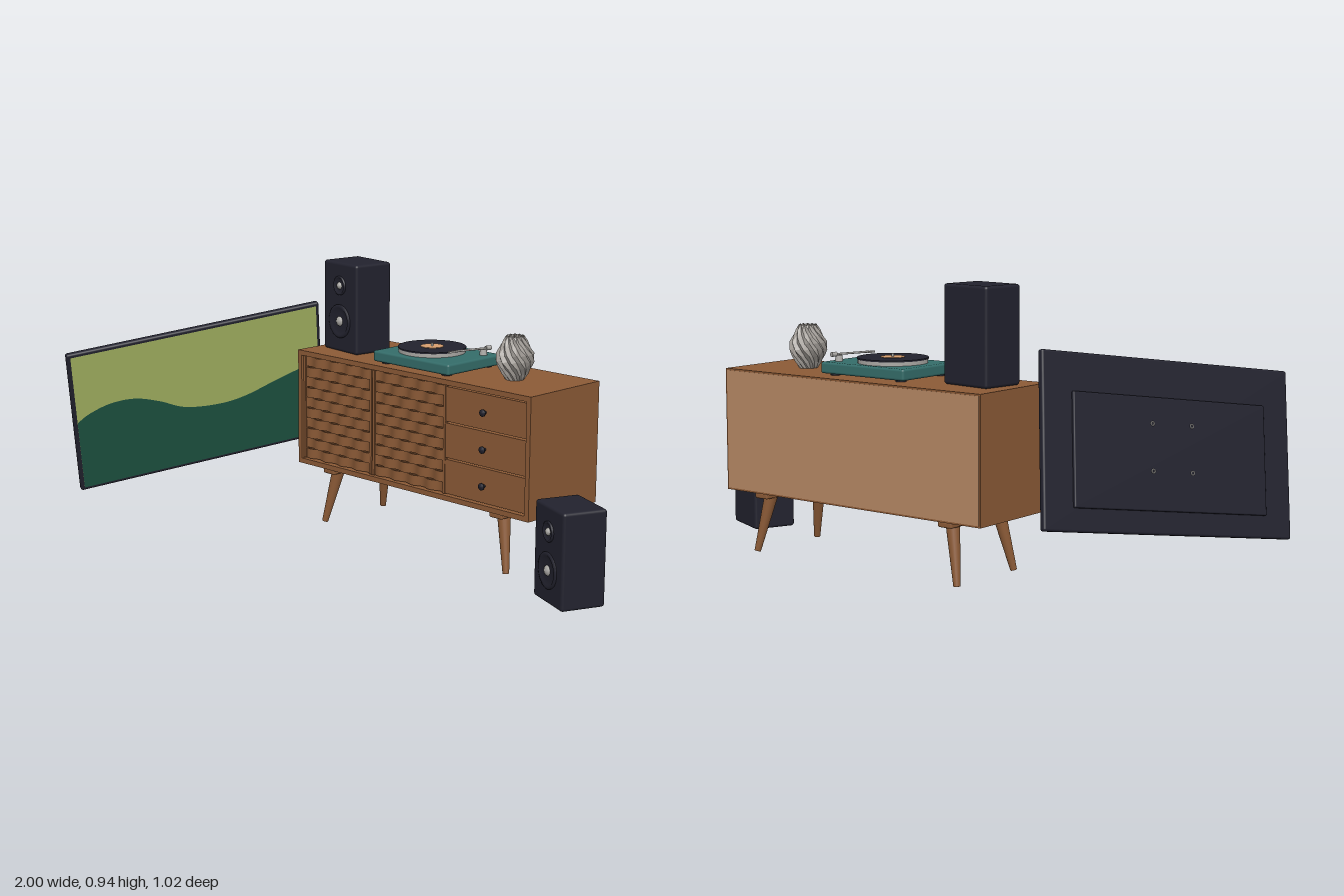
import * as THREE from 'three';
import { RoundedBoxGeometry } from 'three/addons/geometries/RoundedBoxGeometry.js';

const mat = (name, color, extra = {}) => Object.assign(new THREE.MeshStandardMaterial({ color, ...extra }), { name });

export function createModel() {
  const wood = mat('wood', 0x8b5a36);
  const backWood = mat('pale back board', 0xb58763);
  const seam = mat('dark wood seam', 0x55361f);
  const dark = mat('dark casing', 0x22222e);
  const teal = mat('teal', 0x346c69);
  const silver = mat('silver', 0xaaa8a4);
  const tan = mat('record label', 0xd79f70);
  const lime = mat('light green', 0xaaba66);
  const forest = mat('dark green', 0x1f5644);
  const ceramic = mat('grey ceramic', 0xa39e98, { flatShading: true, side: THREE.DoubleSide });

  const root = new THREE.Group();
  const add = (parent, name, geo, material, x = 0, y = 0, z = 0) => {
    const m = new THREE.Mesh(geo, material);
    m.name = name;
    m.position.set(x, y, z);
    parent.add(m);
    return m;
  };
  const group = (name, x = 0, y = 0, z = 0) => {
    const g = new THREE.Group();
    g.name = name;
    g.position.set(x, y, z);
    root.add(g);
    return g;
  };
  const box = (w, h, d) => new THREE.BoxGeometry(w, h, d);
  // Tapered rod between two points
  const rod = (parent, name, a, b, ra, rb, material) => {
    const p = new THREE.Vector3(...a), q = new THREE.Vector3(...b), d = q.clone().sub(p);
    const m = add(parent, name, new THREE.CylinderGeometry(rb, ra, d.length(), 20), material);
    m.position.copy(p).add(q).multiplyScalar(0.5);
    m.quaternion.setFromUnitVectors(new THREE.Vector3(0, 1, 0), d.normalize());
  };
  // Lathe whose axis points to +z
  const lathe = (pts, seg = 32) =>
    new THREE.LatheGeometry(pts.map(p => new THREE.Vector2(...p)), seg).rotateX(Math.PI / 2);

  // Sideboard, origin at the middle of its footprint
  const cab = group('sideboard', 0.137, 0, -0.34);
  const W = 1.09, D = 0.35, y0 = 0.208, y1 = 0.625, H = y1 - y0, t = 0.018, ym = (y0 + y1) / 2;
  for (const s of [-1, 1]) {
    add(cab, 'sidePanel', box(t, H, D), wood, s * (W - t) / 2, ym, 0);
    add(cab, s > 0 ? 'topPanel' : 'bottomPanel', box(W - 2 * t, t, D), wood, 0, ym + s * (H - t) / 2, 0);
  }
  add(cab, 'backPanel', box(W - 0.012, H - 0.012, 0.008), backWood, 0, ym, -D / 2 + 0.003);
  add(cab, 'innerBody', box(W - 2 * t, H - 2 * t, D - 0.04), seam, 0, ym, -0.01);

  // Sliding doors woven from horizontal slats
  const doorW = 0.344, rows = 10, inner = H - 2 * t - 0.006, rowH = inner / rows;
  for (let d = 0; d < 2; d++) {
    const cx = -W / 2 + t + 0.003 + doorW / 2 + d * (doorW + 0.005);
    for (const s of [-1, 1])
      add(cab, 'doorStile', box(0.01, inner, 0.016), wood, cx + s * (doorW / 2 - 0.005), ym, 0.16);
    for (let r = 0; r < rows; r++) {
      const g = new THREE.BoxGeometry(doorW - 0.02, rowH - 0.002, 0.005, 48, 1, 1);
      const p = g.attributes.position;
      for (let i = 0; i < p.count; i++) {
        const k = p.getX(i) / (doorW - 0.02) + 0.5;
        p.setZ(i, p.getZ(i) + 0.0055 * Math.sin(k * Math.PI * 8 + r * Math.PI));
      }
      g.computeVertexNormals();
      add(cab, 'wovenSlat', g, wood, cx, ym - inner / 2 + (r + 0.5) * rowH, 0.161);
    }
  }

  // Drawers with round knobs
  const drawW = 0.352, drawH = inner / 3;
  for (let i = 0; i < 3; i++) {
    const y = ym + (i - 1) * drawH, x = W / 2 - t - 0.003 - drawW / 2;
    add(cab, 'drawerFront', box(drawW, drawH - 0.006, 0.022), wood, x, y, 0.158);
    add(cab, 'drawerKnob', lathe([[0, 0], [0.005, 0], [0.005, 0.01], [0.012, 0.014], [0.012, 0.019], [0, 0.022]], 20),
      dark, x, y, 0.168);
  }

  // Leg rails and splayed legs
  for (const sx of [-1, 1]) {
    add(cab, 'legRail', new RoundedBoxGeometry(0.056, 0.02, 0.335, 2, 0.006), wood, sx * 0.397, 0.199, 0);
    for (const sz of [-1, 1])
      rod(cab, 'leg', [sx * 0.433, 0.003, sz * 0.15], [sx * 0.394, 0.195, sz * 0.12], 0.011, 0.023, wood);
  }

  // Loudspeakers
  const speaker = (x, y, z, turn) => {
    const g = group('speaker', x, y, z), h = 0.32, d = 0.155;
    g.rotation.y = turn;
    add(g, 'speakerCase', new RoundedBoxGeometry(0.192, h, d, 3, 0.01), dark, 0, h / 2, 0);
    for (const [name, cy, r, plug] of [['tweeter', 0.238, 0.034, 0.013], ['woofer', 0.11, 0.06, 0.018]]) {
      add(g, name + 'Ring', lathe([[r, 0], [r, 0.004], [r * 0.86, 0.007], [r * 0.78, 0.003], [r * 0.5, 0.001], [0, 0.001]]),
        dark, 0, cy, d / 2).material.side = THREE.DoubleSide;
      add(g, name + 'Plug', lathe([[plug, 0], [plug * 0.9, 0.005], [plug * 0.5, 0.01], [0, 0.012]], 16),
        silver, 0, cy, d / 2).material.side = THREE.DoubleSide;
    }
  };
  speaker(-0.268, y1, -0.325, -0.13);
  speaker(0.885, 0, -0.13, -0.4);

  // Record player
  const deck = group('recordPlayer', 0.122, y1, -0.325);
  add(deck, 'plinth', new RoundedBoxGeometry(0.355, 0.038, 0.268, 3, 0.008), teal, 0, 0.025, 0);
  for (const sx of [-1, 1]) for (const sz of [-1, 1])
    add(deck, 'foot', new THREE.CylinderGeometry(0.018, 0.018, 0.01, 16), dark, sx * 0.14, 0.005, sz * 0.1);
  const disc = (name, r, h, y, m) =>
    add(deck, name, new THREE.CylinderGeometry(r, r, h, 48), m, -0.022, y, 0);
  disc('platter', 0.116, 0.013, 0.0505, silver);
  disc('record', 0.118, 0.005, 0.0595, dark);
  disc('recordLabel', 0.04, 0.002, 0.0628, tan);
  disc('spindle', 0.004, 0.012, 0.068, silver);
  add(deck, 'tonearmBase', new THREE.CylinderGeometry(0.011, 0.014, 0.022, 20), silver, 0.143, 0.053, -0.08);
  rod(deck, 'tonearm', [0.15, 0.067, -0.095], [0.112, 0.067, 0.035], 0.0035, 0.0035, silver);
  rod(deck, 'counterweight', [0.153, 0.067, -0.106], [0.148, 0.067, -0.087], 0.008, 0.008, silver);
  add(deck, 'headshell', box(0.01, 0.006, 0.024), silver, 0.109, 0.066, 0.042).rotation.y = -0.28;

  // Faceted vase: rings of alternating radius form folded diamonds
  const vase = [[0.029, 0], [0.042, 0.02], [0.054, 0.042], [0.061, 0.064], [0.059, 0.086], [0.049, 0.108], [0.038, 0.128], [0.03, 0.146]];
  const N = 24;
  const vg = new THREE.LatheGeometry(vase.map(p => new THREE.Vector2(...p)), N);
  const vp = vg.attributes.position;
  for (let i = 0; i < vp.count; i++) {
    const ring = i % vase.length, col = Math.floor(i / vase.length) % N;
    const k = (ring + col) % 2 ? 1.08 : 0.92;
    vp.setXYZ(i, vp.getX(i) * k, vp.getY(i) + (col % 2 ? 0.004 : 0) * (ring > 0), vp.getZ(i) * k);
  }
  add(root, 'vase', vg, ceramic, 0.467, y1, -0.335);

  // Television, tilted in space
  const tv = group('television', -0.76, 0.428, 0.005);
  const X = new THREE.Vector3(0.375, 0.133, -0.917).normalize();
  const Z = X.clone().cross(new THREE.Vector3(0.17, 0.957, 0.21)).normalize();
  tv.quaternion.setFromRotationMatrix(new THREE.Matrix4().makeBasis(X, Z.clone().cross(X), Z));
  const tw = 0.965, th = 0.557, td = 0.025;
  add(tv, 'televisionCase', new RoundedBoxGeometry(tw, th, td, 3, 0.008), dark);
  const sw = tw / 2 - 0.013, sh = th / 2 - 0.013;
  add(tv, 'screenSky', new THREE.PlaneGeometry(2 * sw, 2 * sh), lime, 0, 0, td / 2 + 0.001);
  // Rolling hill across the lower half of the screen
  const hill = new THREE.Shape();
  hill.moveTo(-sw, -sh);
  hill.lineTo(sw, -sh);
  hill.lineTo(sw, 0.046);
  hill.splineThru([[0.3, 0], [0.175, -0.036], [0.07, -0.046], [-0.06, -0.029], [-0.16, 0.02], [-0.25, 0.052],
    [-0.34, 0.054], [-0.42, 0.032], [-sw, 0.004]].map(p => new THREE.Vector2(...p)));
  hill.lineTo(-sw, -sh);
  add(tv, 'screenHill', new THREE.ShapeGeometry(hill, 40), forest, 0, 0, td / 2 + 0.002);
  // Rear cover with four mounting sockets
  add(tv, 'rearCover', new RoundedBoxGeometry(0.75, 0.36, 0.016, 2, 0.005), dark, 0, -0.025, -td / 2 - 0.002);
  for (const sx of [-1, 1]) for (const sy of [-1, 1])
    add(tv, 'mountSocket', new THREE.TorusGeometry(0.006, 0.002, 8, 16), silver, sx * 0.077, -0.005 + sy * 0.075, -td / 2 - 0.01);

  return root;
}
